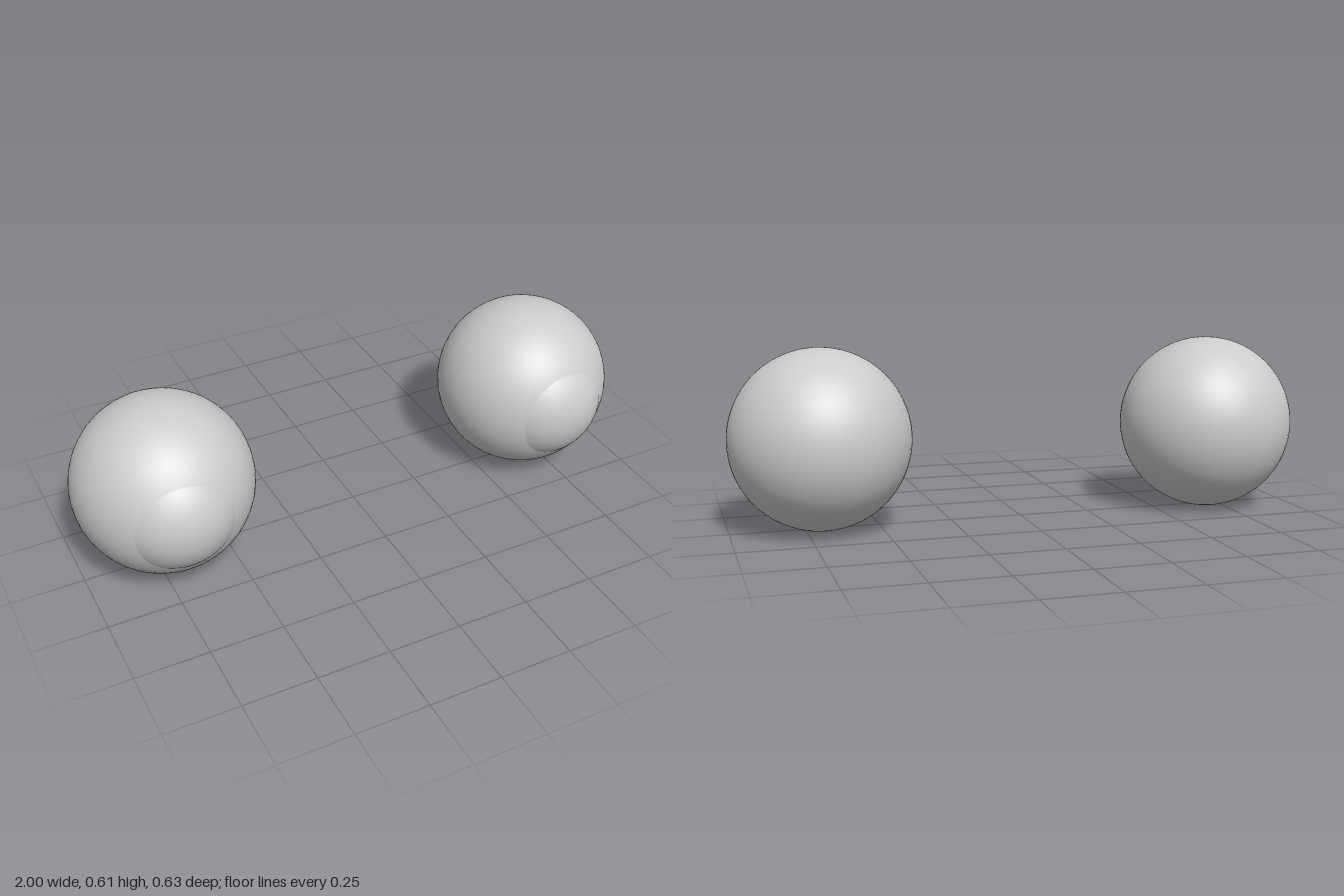
import * as THREE from 'three';

const material = new THREE.MeshStandardMaterial({ color: 0xcccccc });

function ball(name, radius, x, y, z) {
  const mesh = new THREE.Mesh(new THREE.SphereGeometry(radius, 64, 48), material);
  mesh.name = name;
  mesh.position.set(x, y, z);
  return mesh;
}

// One eyeball with a smaller sphere bulging through its front as the cornea
function makeEye(name, x, corneaX) {
  const eye = new THREE.Group();
  eye.name = name;
  eye.position.set(x, 0.305, -0.011);
  eye.add(
    ball('eyeball', 0.305, 0, 0, 0),
    ball('cornea', 0.221, corneaX, -0.004, 0.108)
  );
  return eye;
}

export function createModel() {
  const model = new THREE.Group();
  model.name = 'eyes';
  // The corneas turn slightly outward
  model.add(makeEye('leftEye', 0.695, 0.005), makeEye('rightEye', -0.695, -0.007));
  return model;
}
